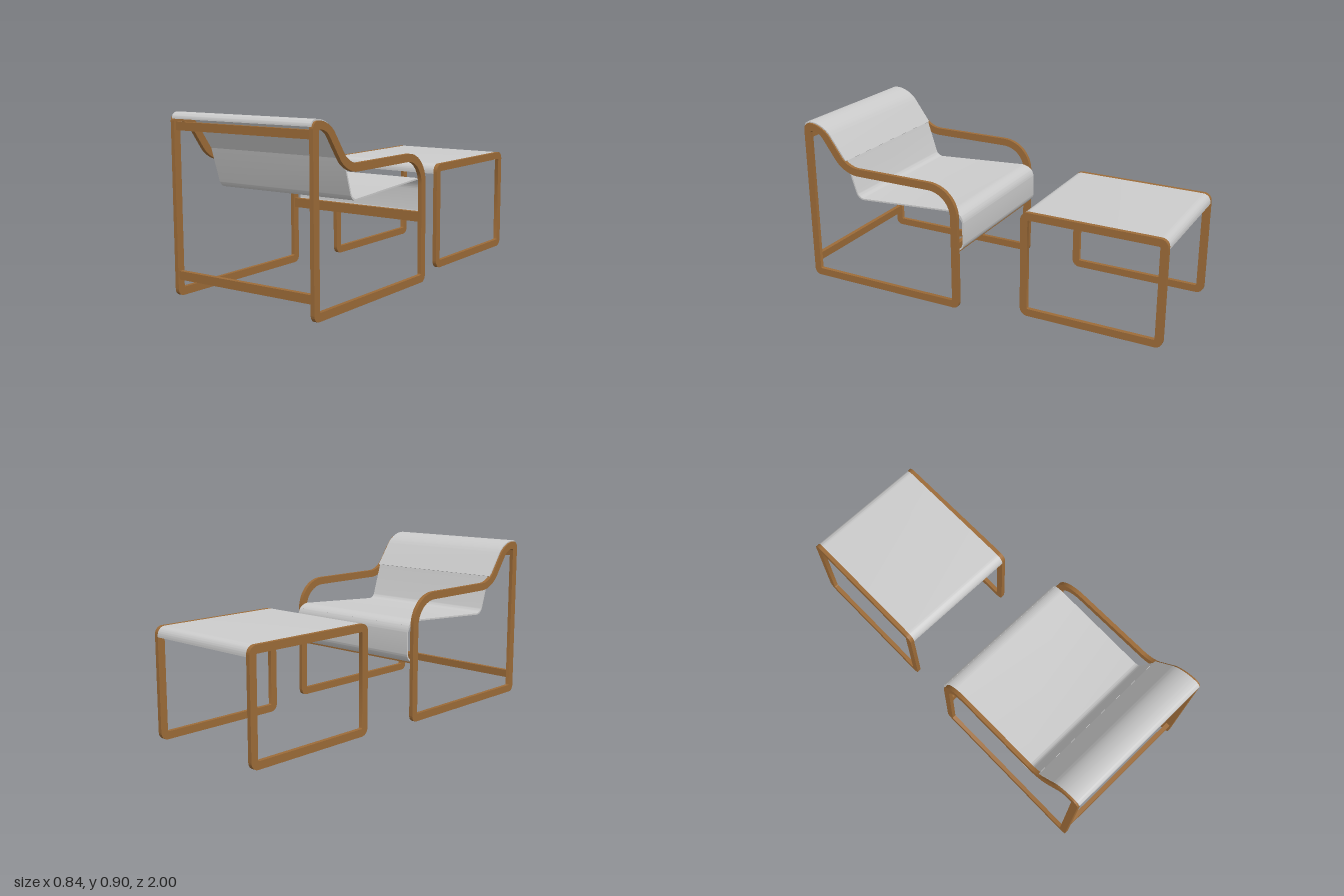
import * as THREE from 'three';
import { toCreasedNormals } from 'three/addons/utils/BufferGeometryUtils.js';

const wood = new THREE.MeshStandardMaterial({ color: 0x9c6b38 });
const fabric = new THREE.MeshStandardMaterial({ color: 0xcccccc, side: THREE.DoubleSide });

// Draws a polyline of [z, y, cornerLength] onto a path, rounding each corner.
function trace(path, pts, closed) {
  const n = pts.length;
  const toward = (a, b, d) => {
    const l = Math.hypot(b[0] - a[0], b[1] - a[1]);
    return [a[0] + (b[0] - a[0]) * d / l, a[1] + (b[1] - a[1]) * d / l];
  };
  pts.forEach((p, i) => {
    const r = p[2] || 0;
    const inner = closed || (i > 0 && i < n - 1);
    const a = inner ? toward(p, pts[(i + n - 1) % n], r) : p;
    if (i === 0) path.moveTo(a[0], a[1]);
    else path.lineTo(a[0], a[1]);
    if (inner && r > 0) {
      const b = toward(p, pts[(i + 1) % n], r);
      const c1 = toward(a, p, r * 0.57), c2 = toward(b, p, r * 0.57);
      path.bezierCurveTo(c1[0], c1[1], c2[0], c2[1], b[0], b[1]);
    }
  });
  if (closed) path.closePath();
  return path;
}

// Extrudes a side profile (z, y) across the width from x0 to x1.
function extrudeAcross(shape, x0, x1, material, name) {
  let geo = new THREE.ExtrudeGeometry(shape, { depth: x1 - x0, bevelEnabled: false, curveSegments: 14 });
  geo.rotateY(-Math.PI / 2);
  geo.translate(x1, 0, 0);
  geo = toCreasedNormals(geo, 0.6);
  const mesh = new THREE.Mesh(geo, material);
  mesh.name = name;
  return mesh;
}

// A closed loop of bent wood.
function frame(outer, inner, x0, x1, name) {
  const shape = trace(new THREE.Shape(), outer, true);
  shape.holes.push(trace(new THREE.Path(), inner, true));
  return extrudeAcross(shape, x0, x1, wood, name);
}

// A thin sheet that follows an open profile.
function sheet(profile, x0, x1, name, t = 0.008) {
  const pts = trace(new THREE.Path(), profile, false).getPoints(14)
    .filter((p, i, all) => i === 0 || p.distanceTo(all[i - 1]) > 1e-5);
  const side = (s) => pts.map((p, i) => {
    const a = pts[Math.max(i - 1, 0)], b = pts[Math.min(i + 1, pts.length - 1)];
    const d = b.clone().sub(a).normalize();
    return new THREE.Vector2(p.x - d.y * s, p.y + d.x * s);
  });
  const shape = new THREE.Shape([...side(t / 2), ...side(-t / 2).reverse()]);
  return extrudeAcross(shape, x0, x1, fabric, name);
}

function bar(y0, y1, z, name) {
  const mesh = new THREE.Mesh(new THREE.BoxGeometry(0.8, y1 - y0, 0.024), wood);
  mesh.position.set(0, (y0 + y1) / 2, z);
  mesh.name = name;
  return mesh;
}

function createChair() {
  const chair = new THREE.Group();
  chair.name = 'loungeChair';

  // Side frames: back leg, curved head, arm, front leg and floor rail
  const outer = [[1, 0.008, 0.035], [1, 0.89, 0.038], [0.885, 0.89, 0.075],
    [0.735, 0.68, 0.065], [0.07, 0.68, 0.17], [0.07, 0.008, 0.035]];
  const inner = [[0.96, 0.048, 0.006], [0.96, 0.85, 0.012], [0.906, 0.85, 0.04],
    [0.756, 0.64, 0.085], [0.11, 0.64, 0.13], [0.11, 0.048, 0.006]];
  chair.add(frame(outer, inner, 0.4, 0.421, 'leftSideFrame'));
  chair.add(frame(outer, inner, -0.421, -0.4, 'rightSideFrame'));

  // Cross bars
  chair.add(bar(0.09, 0.132, 0.98, 'lowerBackBar'));
  chair.add(bar(0.81, 0.85, 0.975, 'upperBackBar'));
  chair.add(bar(0.32, 0.37, 0.09, 'frontBar'));

  // Sling: head part lies over the frames, seat part hangs between them
  chair.add(sheet([[0.998, 0.865], [0.998, 0.892, 0.026], [0.883, 0.892, 0.075],
    [0.75, 0.708]], -0.411, 0.411, 'headSling'));
  chair.add(sheet([[0.75, 0.708], [0.685, 0.505, 0.035], [0.085, 0.543, 0.035],
    [0.049, 0.505, 0.025], [0.049, 0.355, 0.02], [0.078, 0.332]], -0.4, 0.4, 'seatSling'));
  return chair;
}

function createStool() {
  const stool = new THREE.Group();
  stool.name = 'footstool';

  // Rounded rectangular side frames
  const outer = [[-0.23, 0, 0.042], [-0.23, 0.572, 0.042], [-1, 0.572, 0.042], [-1, 0, 0.042]];
  const inner = [[-0.27, 0.04, 0.006], [-0.27, 0.532, 0.006], [-0.96, 0.532, 0.006], [-0.96, 0.04, 0.006]];
  stool.add(frame(outer, inner, 0.29, 0.312, 'leftStoolFrame'));
  stool.add(frame(outer, inner, -0.378, -0.356, 'rightStoolFrame'));

  // Top sheet folded over both ends
  stool.add(sheet([[-0.234, 0.52], [-0.234, 0.568, 0.04], [-0.996, 0.568, 0.04],
    [-0.996, 0.52]], -0.356, 0.29, 'stoolTop'));
  return stool;
}

export function createModel() {
  const model = new THREE.Group();
  model.name = 'chairAndFootstool';
  model.add(createChair(), createStool());
  return model;
}
